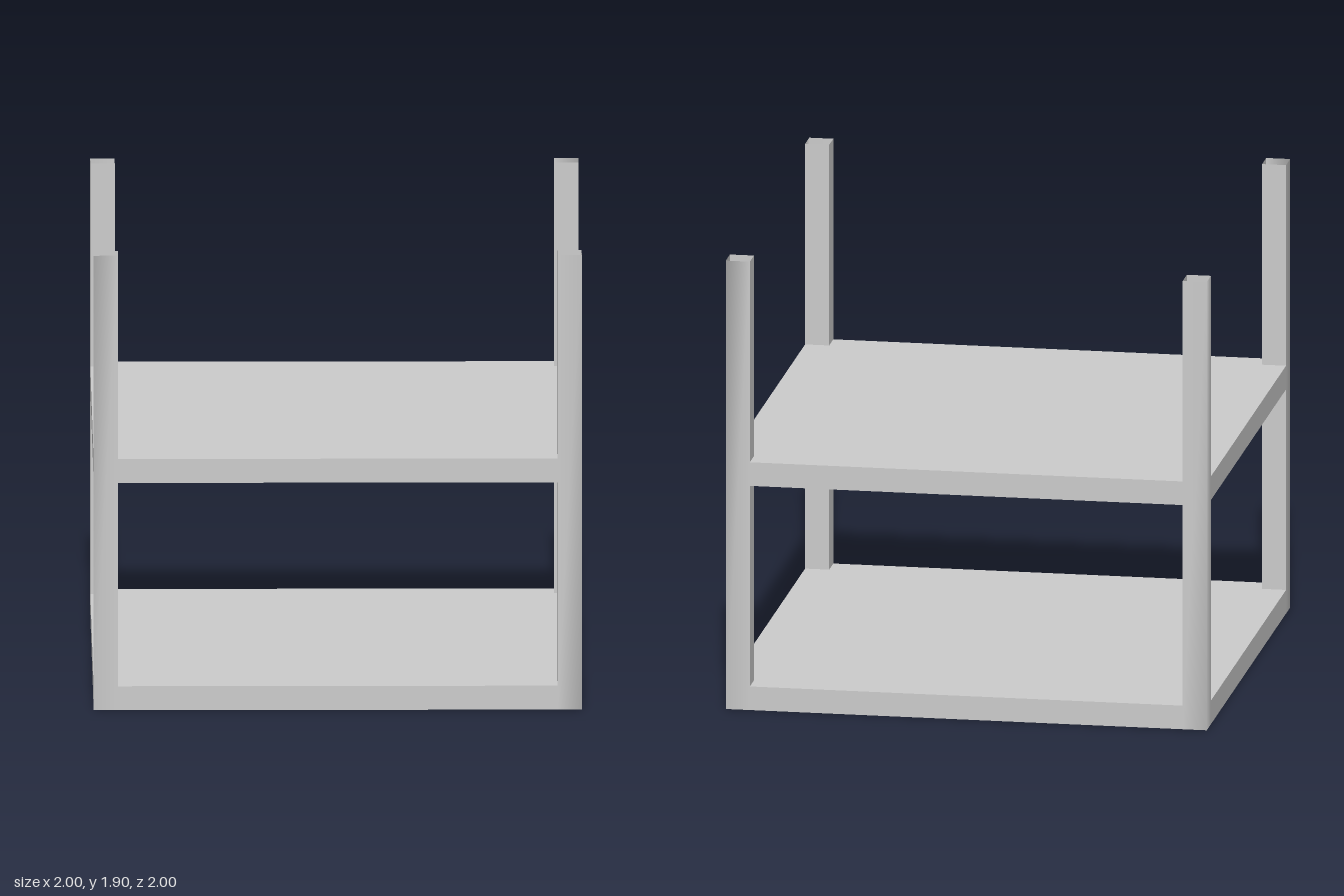
import * as THREE from 'three';

const R = 1;       // outer half width
const I = 0.9;     // inner edge of the posts
const H = 1.9;     // post height
const T = 0.1;     // rail height
const shelves = [0, 0.95]; // underside of each shelf

const material = new THREE.MeshStandardMaterial({ color: 0xcccccc, side: THREE.DoubleSide });

// Upright wall along [x, z] points, left to right as seen from its front
function wall(points, y0, y1, smooth) {
  const pos = [], index = [];
  points.forEach(([x, z], i) => {
    pos.push(x, y0, z, x, y1, z);
    if (i > 0) {
      const a = 2 * (i - 1);
      index.push(a, a + 2, a + 3, a, a + 3, a + 1);
    }
  });
  let geo = new THREE.BufferGeometry();
  geo.setAttribute('position', new THREE.Float32BufferAttribute(pos, 3));
  geo.setIndex(index);
  if (!smooth) geo = geo.toNonIndexed();
  geo.computeVertexNormals();
  return geo;
}

function add(parent, name, geometry) {
  const mesh = new THREE.Mesh(geometry, material);
  mesh.name = name;
  parent.add(mesh);
  return mesh;
}

export function createModel() {
  const model = new THREE.Group();
  model.name = 'shelfRack';

  // Shelf board with its corners cut out for the hollow posts
  const board = new THREE.Shape([
    [-I, -R], [I, -R], [I, -I], [R, -I], [R, I], [I, I],
    [I, R], [-I, R], [-I, I], [-R, I], [-R, -I], [-I, -I],
  ].map(([x, y]) => new THREE.Vector2(x, y)));
  const boardGeo = new THREE.ShapeGeometry(board).rotateX(-Math.PI / 2);

  // Shared geometry for one corner and one side
  const outer = wall([[I, R], [R, R], [R, I]], 0, H, true);
  const corner = [[R, I], [I, I], [I, R]];
  const innerLower = wall(corner, T, shelves[1], false);
  const innerUpper = wall(corner, shelves[1] + T, H, false);
  const rail = wall([[-I, R], [I, R]], 0, T, false);

  for (const y of shelves) {
    add(model, 'shelfBoard', boardGeo).position.y = y + T;
  }

  // Four open posts, and the rails skirting each shelf
  for (let k = 0; k < 4; k++) {
    const side = new THREE.Group();
    side.name = 'postAndRails';
    side.rotation.y = k * Math.PI / 2;
    add(side, 'postOuterWalls', outer);
    add(side, 'postInnerWallsLower', innerLower);
    add(side, 'postInnerWallsUpper', innerUpper);
    for (const y of shelves) add(side, 'rail', rail).position.y = y;
    model.add(side);
  }
  return model;
}
